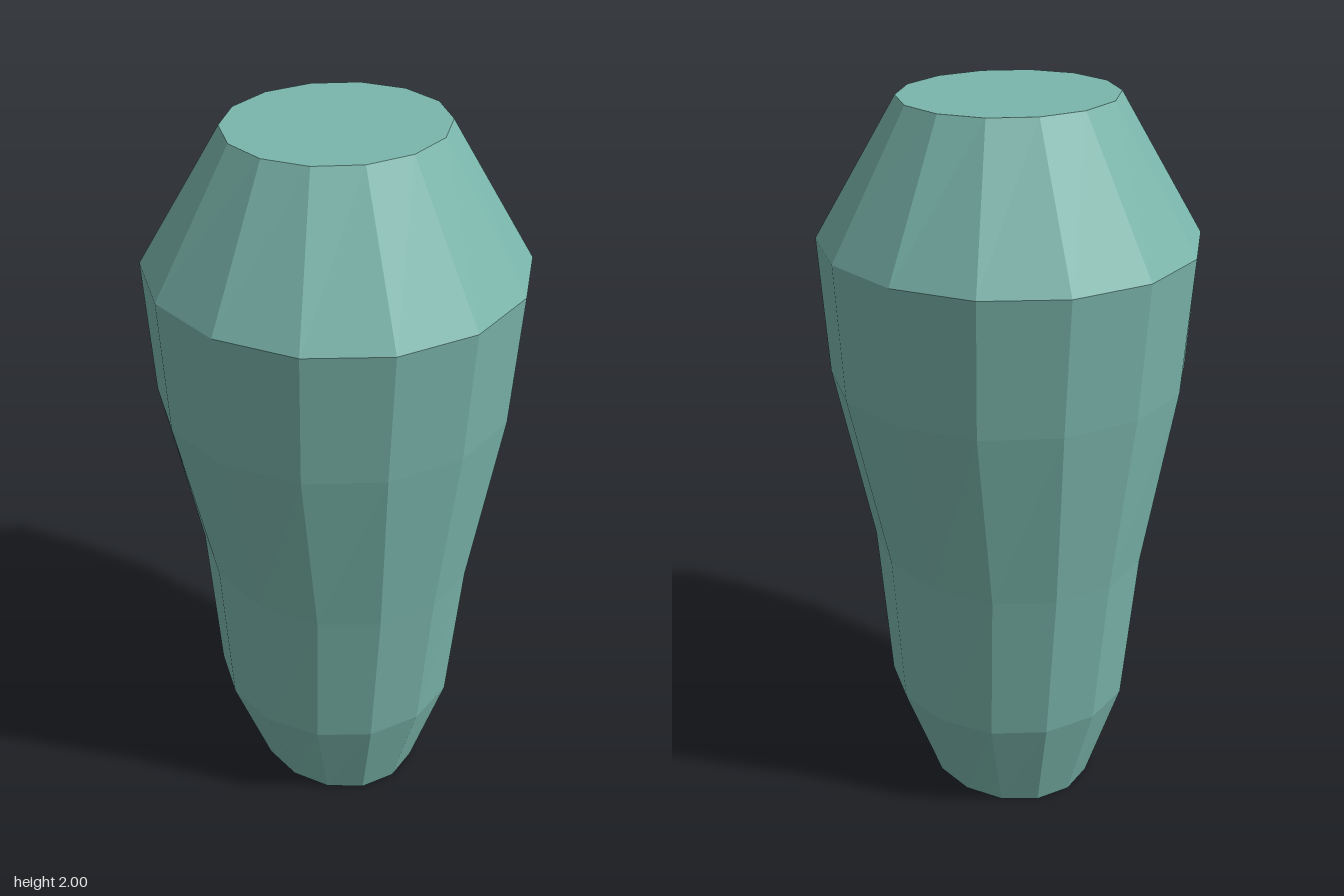
import * as THREE from 'three';

const SIDES = 14;

// Rings from bottom to top: [height, half width in x, half depth in z]
const RINGS = [
  [0, 0.23, 0.262],
  [0.3, 0.34, 0.348],
  [0.75, 0.37, 0.402],
  [1.26, 0.48, 0.467],
  [1.63, 0.5, 0.5],
  [2, 0.29, 0.262],
];

export function createModel() {
  const group = new THREE.Group();
  group.name = 'facetedVessel';

  const teal = new THREE.MeshStandardMaterial({ color: 0x7ab5ab, flatShading: true });
  teal.name = 'teal';

  // Closed unit cylinder with corners on the x axis and flat sides facing front and back
  const bands = RINGS.length - 1;
  const base = new THREE.CylinderGeometry(1, 1, bands, SIDES, bands, false, Math.PI / 2);
  const flat = Math.cos(Math.PI / SIDES); // depth reached by the flat front side

  // Fit every row of the cylinder to its ring
  const pos = base.attributes.position;
  for (let i = 0; i < pos.count; i++) {
    const [y, rx, rz] = RINGS[Math.round(pos.getY(i) + bands / 2)];
    pos.setXYZ(i, pos.getX(i) * rx, y, (pos.getZ(i) * rz) / flat);
  }

  // Separate faces give crisp facets
  const geometry = base.toNonIndexed();
  geometry.clearGroups();
  geometry.computeVertexNormals();

  const body = new THREE.Mesh(geometry, teal);
  body.name = 'body';
  group.add(body);
  return group;
}
